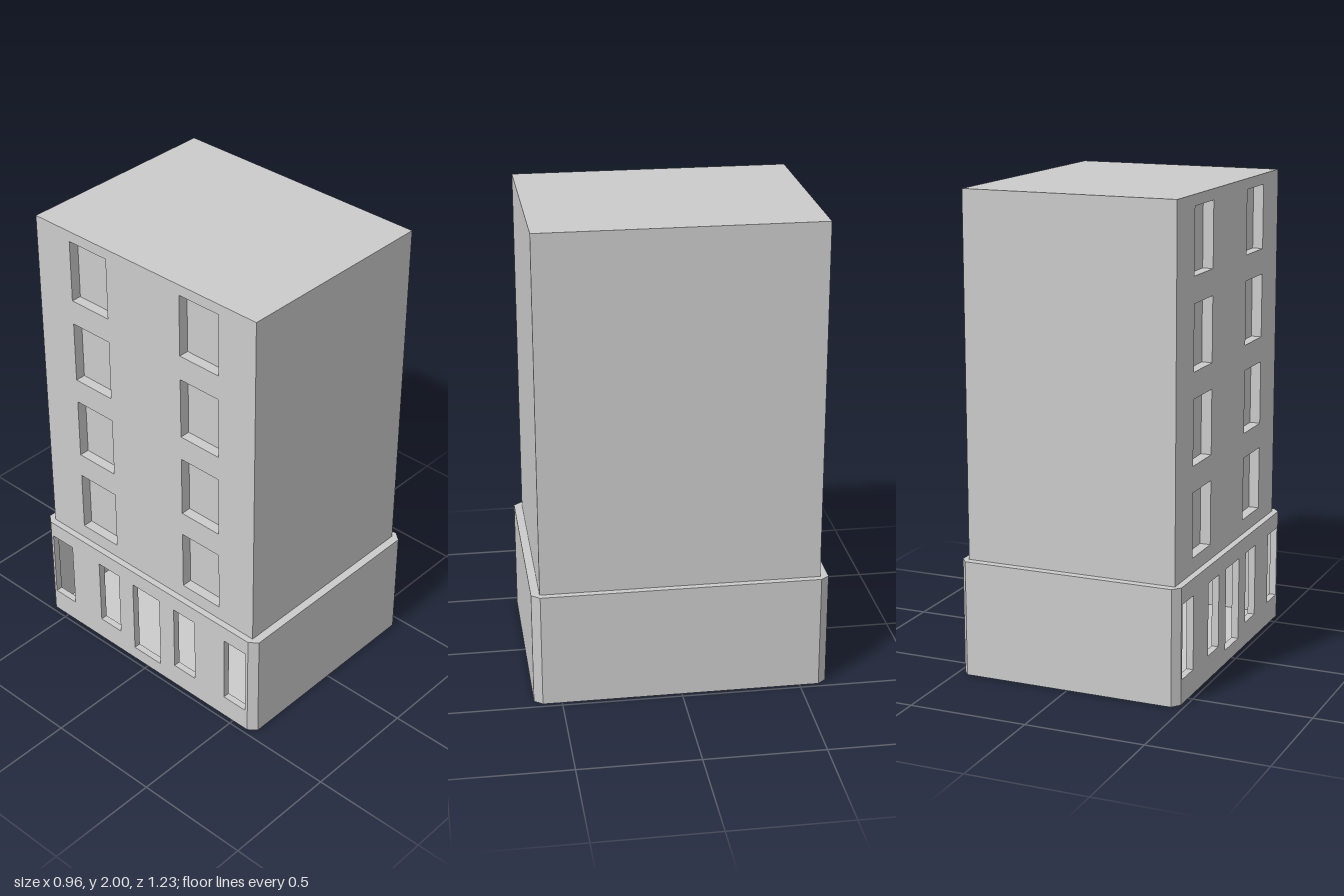
import * as THREE from 'three';

const material = new THREE.MeshStandardMaterial({ color: 0xcccccc, flatShading: true });

function createMesh(name, geometry, x = 0, y = 0, z = 0) {
  const mesh = new THREE.Mesh(geometry, material);
  mesh.name = name;
  mesh.position.set(x, y, z);
  return mesh;
}

function rectangle(PathType, z0, z1, y0, y1) {
  return new PathType([[z0, y0], [z1, y0], [z1, y1], [z0, y1]].map(p => new THREE.Vector2(...p)));
}

// Wall on the -x side, pierced by openings given as [z0, z1, y0, y1]
function facade(name, outerX, depth, halfZ, y0, y1, openings) {
  const shape = rectangle(THREE.Shape, -halfZ, halfZ, y0, y1);
  shape.holes = openings.map(o => rectangle(THREE.Path, ...o));
  const geometry = new THREE.ExtrudeGeometry(shape, { depth, bevelEnabled: false });
  geometry.rotateY(-Math.PI / 2);
  return createMesh(name, geometry, outerX + depth);
}

export function createModel() {
  const model = new THREE.Group();
  model.name = 'building';

  const H = 2, baseH = 0.487, halfX = 0.452, halfZ = 0.58;
  const baseX = 0.48, baseZ = 0.615, wall = 0.03, recess = 0.044;

  // Tower: solid core behind a facade with four rows of recessed windows
  const tower = new THREE.Group();
  tower.name = 'tower';
  const storey = (H - baseH) / 4;
  const windows = [];
  for (let row = 0; row < 4; row++) {
    const sill = baseH + row * storey + 0.063;
    for (const z of [-0.294, 0.294]) windows.push([z - 0.1, z + 0.1, sill, sill + 0.27]);
  }
  tower.add(
    createMesh('towerCore', new THREE.BoxGeometry(2 * halfX - recess, H - baseH, 2 * halfZ),
      recess / 2, (H + baseH) / 2, 0),
    facade('towerFacade', -halfX, recess, halfZ, baseH, H, windows)
  );

  // Hollow ground floor: chamfered walls on three sides, open shopfront on the fourth
  const base = new THREE.Group();
  base.name = 'groundFloor';
  const inner = baseX - wall;
  const outline = [
    [-baseX, -halfZ], [-halfX, -baseZ], [halfX, -baseZ], [baseX, -halfZ],
    [baseX, halfZ], [halfX, baseZ], [-halfX, baseZ], [-baseX, halfZ],
    [inner, halfZ], [inner, -halfZ]
  ].map(([x, z]) => new THREE.Vector2(x, -z));
  const wallGeometry = new THREE.ExtrudeGeometry(new THREE.Shape(outline), { depth: baseH, bevelEnabled: false });
  wallGeometry.rotateX(-Math.PI / 2);

  // Central door and two windows on each side of it
  const openings = [[-0.078, 0.078, 0.06, 0.415]];
  for (const z of [-0.508, -0.222, 0.222, 0.508]) openings.push([z - 0.06, z + 0.06, 0.103, 0.415]);

  const slab = new THREE.BoxGeometry(2 * inner, 0.01, 2 * halfZ);
  base.add(
    createMesh('groundFloorWalls', wallGeometry),
    facade('groundFloorFacade', -baseX, wall, halfZ, 0, baseH, openings),
    createMesh('floor', slab, 0, 0.005, 0),
    createMesh('ceiling', slab, 0, baseH - 0.005, 0)
  );

  model.add(tower, base);
  return model;
}
